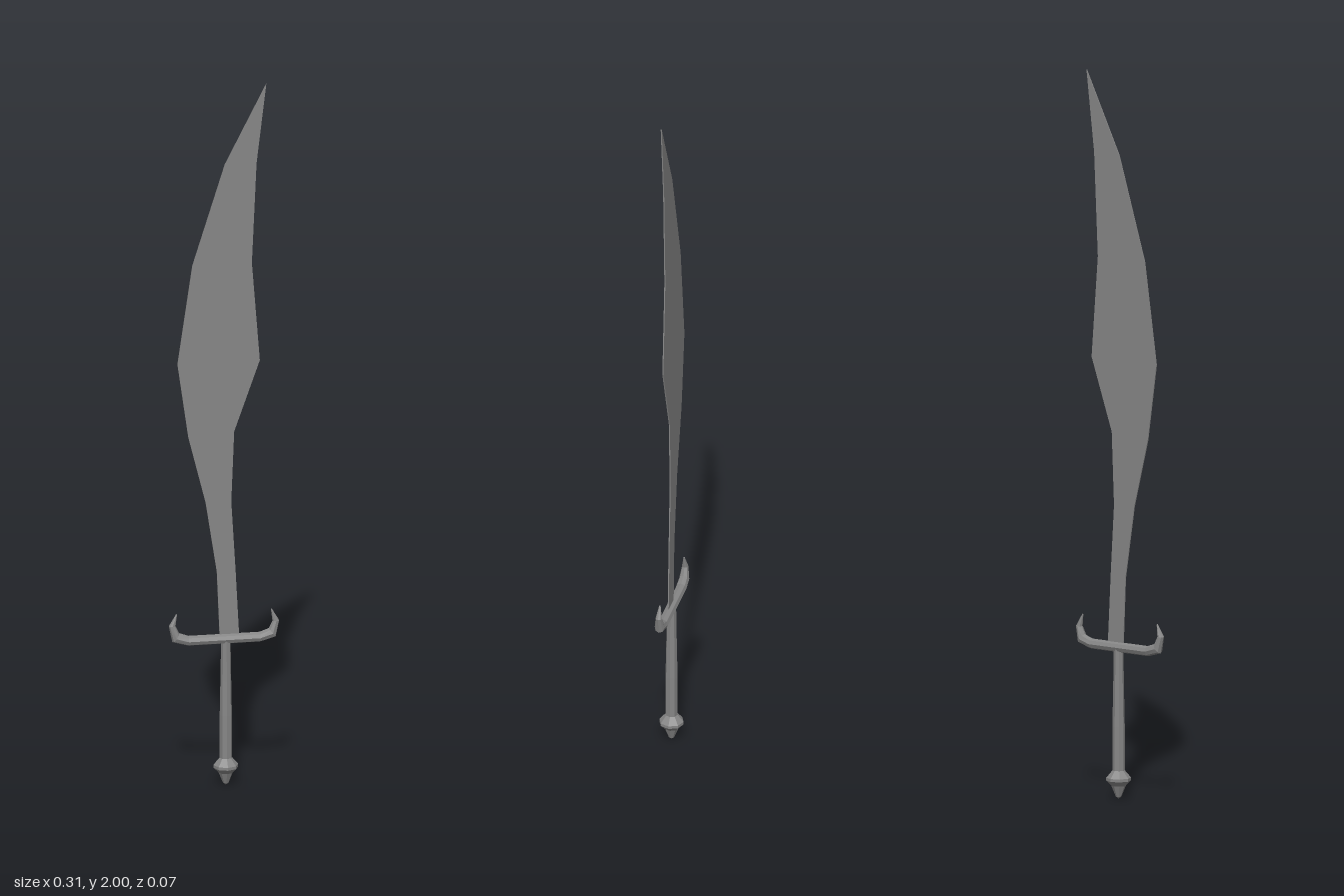
import * as THREE from 'three';

const steel = new THREE.MeshStandardMaterial({ color: 0x868686, flatShading: true, side: THREE.DoubleSide });
const AXIS_X = 0.005; // grip centre line
const BLADE_THICKNESS = 0.003;

function part(name, geometry) {
  const mesh = new THREE.Mesh(geometry, steel);
  mesh.name = name;
  return mesh;
}

// Thin curved blade, swelling before the tip
function makeBlade() {
  const outline = [
    [0.042, 0.42], [0.032, 0.61], [0.02, 0.81], [0.028, 1.01], [0.099, 1.21], [0.077, 1.49], [0.09, 1.775],
    [0.117, 2],
    [0.002, 1.775], [-0.088, 1.49], [-0.129, 1.21], [-0.099, 1.0], [-0.051, 0.81], [-0.02, 0.61], [-0.012, 0.42],
  ];
  const shape = new THREE.Shape(outline.map(([x, y]) => new THREE.Vector2(x, y)));
  const geometry = new THREE.ExtrudeGeometry(shape, { depth: BLADE_THICKNESS, bevelEnabled: false });
  geometry.translate(0, 0, -BLADE_THICKNESS / 2);
  return part('blade', geometry);
}

// Crossguard: octagonal sections swept along the bar and up into both curled ends
function makeGuard() {
  // outer x, y, inner x, y, half depth; listed from centre to tip
  const half = [
    [0.1, 0.404, 0.098, 0.432, 0.015],
    [0.143, 0.416, 0.124, 0.441, 0.014],
    [0.153, 0.462, 0.134, 0.462, 0.009],
    [0.132, 0.497, 0.13, 0.494, 0.002],
  ];
  const sections = [
    ...half.map(([a, b, c, d, e]) => [-a, b, -c, d, e]).reverse(),
    ...half,
  ];
  const sides = 8;
  const positions = [];
  const index = [];
  sections.forEach(([ox, oy, ix, iy, depth], s) => {
    for (let k = 0; k < sides; k++) {
      const angle = (k / sides) * Math.PI * 2;
      const t = 0.5 + 0.5 * Math.cos(angle);
      positions.push(ox + (ix - ox) * t, oy + (iy - oy) * t, depth * Math.sin(angle));
      if (s === sections.length - 1) continue;
      const a = s * sides + k;
      const b = s * sides + ((k + 1) % sides);
      index.push(a, b, a + sides, b, b + sides, a + sides);
    }
  });
  // Close both tips
  const last = (sections.length - 1) * sides;
  for (let k = 1; k < sides - 1; k++) {
    index.push(0, k + 1, k, last, last + k, last + k + 1);
  }
  const geometry = new THREE.BufferGeometry();
  geometry.setAttribute('position', new THREE.Float32BufferAttribute(positions, 3));
  geometry.setIndex(index);
  geometry.computeVertexNormals();
  return part('crossguard', geometry);
}

// Eight-sided turned part around the grip axis
function turned(name, profile) {
  const points = profile.map(([r, y]) => new THREE.Vector2(r, y));
  const mesh = part(name, new THREE.LatheGeometry(points, 8));
  mesh.position.x = AXIS_X;
  return mesh;
}

export function createModel() {
  const sword = new THREE.Group();
  sword.name = 'curvedSword';
  sword.add(
    makeBlade(),
    makeGuard(),
    turned('grip', [[0.017, 0.07], [0.017, 0.2], [0.015, 0.3], [0.013, 0.42]]),
    turned('pommel', [[0, 0], [0.008, 0.006], [0.02, 0.036], [0.034, 0.05], [0.034, 0.058], [0.017, 0.078], [0, 0.08]]),
  );
  return sword;
}
